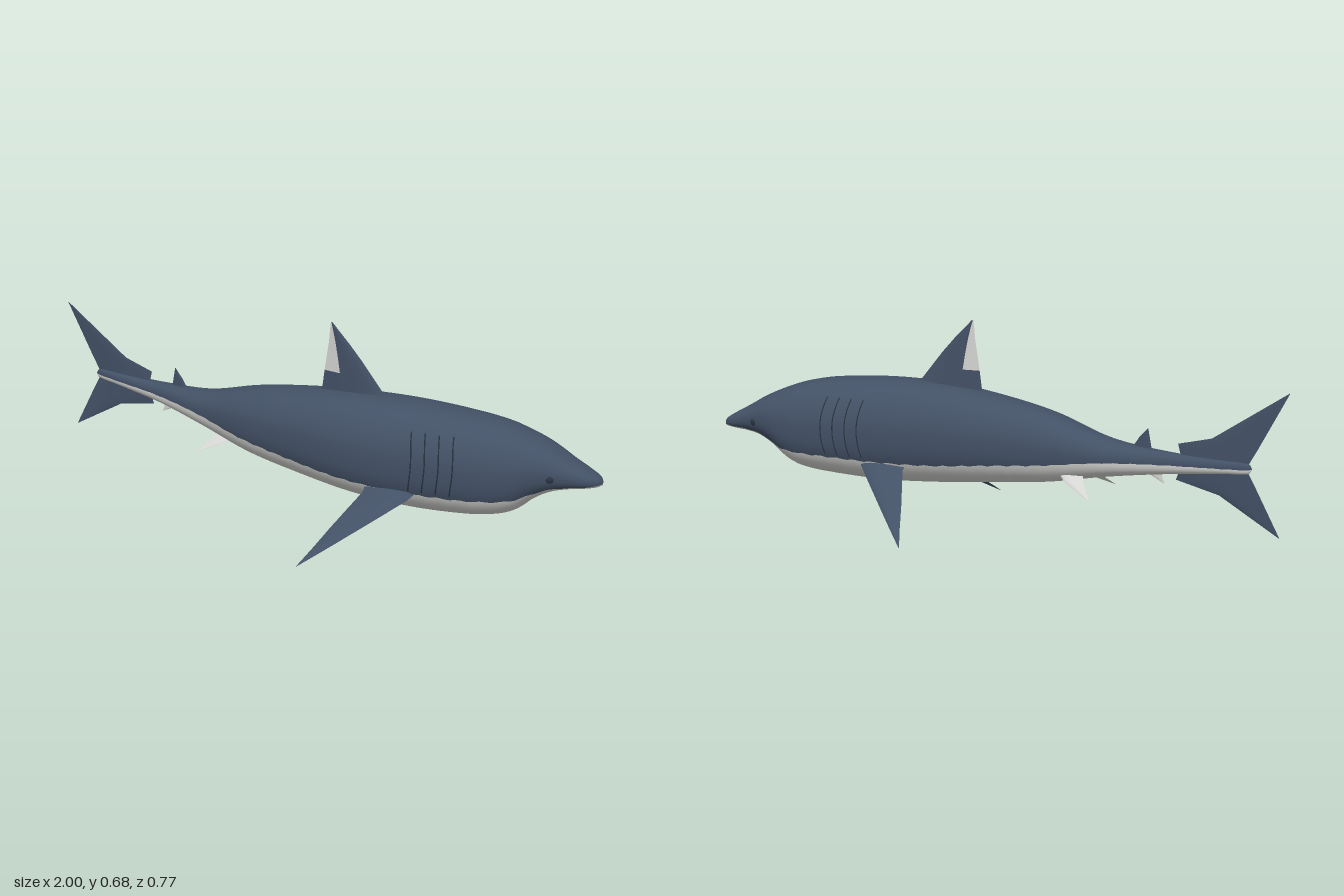
import * as THREE from 'three';

const flat = (name, color, side = THREE.FrontSide) => {
  const m = new THREE.MeshStandardMaterial({ color, side });
  m.name = name;
  return m;
};

// Body stations: x, top, bottom, colour seam height, centre z, half width
const STATIONS = [
  [-0.89, 0.312, 0.308, 0.31, -0.127, 0.001],
  [-0.88, 0.325, 0.295, 0.308, -0.127, 0.008],
  [-0.8, 0.327, 0.285, 0.303, -0.118, 0.016],
  [-0.6, 0.33, 0.258, 0.293, -0.096, 0.034],
  [-0.4, 0.346, 0.222, 0.278, -0.065, 0.066],
  [-0.2, 0.4, 0.178, 0.25, -0.034, 0.104],
  [0, 0.435, 0.15, 0.228, -0.015, 0.13],
  [0.2, 0.456, 0.127, 0.207, -0.004, 0.148],
  [0.4, 0.46, 0.115, 0.2, -0.008, 0.152],
  [0.6, 0.446, 0.122, 0.202, -0.02, 0.145],
  [0.7, 0.428, 0.136, 0.205, -0.035, 0.13],
  [0.75, 0.412, 0.158, 0.21, -0.042, 0.117],
  [0.8, 0.392, 0.2, 0.228, -0.05, 0.101],
  [0.85, 0.368, 0.228, 0.248, -0.056, 0.082],
  [0.9, 0.338, 0.242, 0.256, -0.063, 0.064],
  [0.96, 0.304, 0.25, 0.261, -0.075, 0.042],
  [0.99, 0.284, 0.256, 0.264, -0.083, 0.022],
  [1, 0.268, 0.262, 0.265, -0.085, 0.003],
];
const POWER = 2.25; // squareness of the body section

// Smooth interpolation of the stations
function sample(x) {
  const S = STATIONS, n = S.length;
  x = THREE.MathUtils.clamp(x, S[0][0], S[n - 1][0]);
  let i = 0;
  while (i < n - 2 && x > S[i + 1][0]) i++;
  const slope = (k, c) => {
    const a = S[Math.max(k - 1, 0)], b = S[Math.min(k + 1, n - 1)];
    return (b[c] - a[c]) / (b[0] - a[0]);
  };
  const w = S[i + 1][0] - S[i][0], t = (x - S[i][0]) / w;
  const [top, bottom, seam, cz, hw] = [1, 2, 3, 4, 5].map((c) =>
    S[i][c] * (1 + 2 * t) * (1 - t) ** 2 + S[i + 1][c] * t * t * (3 - 2 * t) +
    w * (slope(i, c) * t * (1 - t) ** 2 + slope(i + 1, c) * t * t * (t - 1)));
  return { cy: (top + bottom) / 2, h: (top - bottom) / 2, seam, cz, hw: Math.max(hw, 0.001) };
}

// Point on the skin at a given x and height
function skin(x, y, side) {
  const s = sample(x), d = Math.min(1, Math.abs(y - s.cy) / s.h);
  return new THREE.Vector3(x, y, s.cz + side * s.hw * (1 - d ** POWER) ** (1 / POWER));
}

// Mesh with one index bucket per material
function paintedMesh(name, positions, buckets, materials) {
  const geo = new THREE.BufferGeometry();
  geo.setAttribute('position', new THREE.Float32BufferAttribute(positions, 3));
  geo.setIndex(buckets.flat());
  let start = 0;
  buckets.forEach((b, k) => {
    if (b.length) geo.addGroup(start, b.length, k);
    start += b.length;
  });
  geo.computeVertexNormals();
  const mesh = new THREE.Mesh(geo, materials);
  mesh.name = name;
  return mesh;
}

// Lofted body: dark back above the seam, pale belly below
function makeBody(materials) {
  const rings = 130, upper = 32, lower = 20, cols = upper + lower;
  const pos = [], buckets = [[], []];
  const spow = (v) => Math.sign(v) * Math.abs(v) ** (2 / POWER);
  for (let i = 0; i <= rings; i++) {
    const x = 0.055 - 0.945 * Math.cos((Math.PI * i) / rings);
    const s = sample(x);
    const wave = 0.0025 * Math.sin(x * 97) * Math.min(1, s.h * 8);
    const d = THREE.MathUtils.clamp((s.seam + wave - s.cy) / s.h, -0.95, 0.5);
    const a0 = Math.asin(Math.sign(d) * Math.abs(d) ** (POWER / 2));
    for (let j = 0; j < cols; j++) {
      const a = j < upper
        ? a0 + (Math.PI - 2 * a0) * (j / upper)
        : Math.PI - a0 + (Math.PI + 2 * a0) * ((j - upper) / lower);
      pos.push(x, s.cy + s.h * spow(Math.sin(a)), s.cz + s.hw * spow(Math.cos(a)));
      if (i === rings) continue;
      const k = (j + 1) % cols, p = i * cols, q = p + cols;
      buckets[j < upper ? 0 : 1].push(p + j, q + j, p + k, q + j, q + k, p + k);
    }
  }
  return paintedMesh('body', pos, buckets, materials);
}

// Fin lofted over spans [leading point, trailing point, half thickness];
// paint(side, chord, span) picks the material of each cell
function makeFin(name, spans, normal, materials, paint) {
  const cols = 12, pos = [], buckets = materials.map(() => []);
  for (const side of [1, -1]) {
    const base = pos.length / 3;
    spans.forEach(([lead, trail, half], v) => {
      const a = new THREE.Vector3(...lead), b = new THREE.Vector3(...trail);
      for (let c = 0; c <= cols; c++) {
        const t = c / cols;
        const p = a.clone().lerp(b, t)
          .addScaledVector(normal, side * half * Math.sin(Math.PI * t ** 0.7));
        pos.push(p.x, p.y, p.z);
        if (c === cols || v === spans.length - 1) continue;
        const i = base + v * (cols + 1) + c, j = i + cols + 1;
        const cell = side > 0 ? [i, i + 1, j, i + 1, j + 1, j] : [i, j, i + 1, i + 1, j, j + 1];
        buckets[paint(side, (c + 0.5) / cols, v)].push(...cell);
      }
    });
  }
  return paintedMesh(name, pos, buckets, materials);
}

export function createModel() {
  const group = new THREE.Group();
  const slate = flat('slate back', 0x435166);
  const pale = flat('pale belly', 0xd4d4d2);
  const finMats = [
    flat('slate fin', 0x435166, THREE.DoubleSide),
    flat('pale fin', 0xd4d4d2, THREE.DoubleSide),
  ];
  const dark = flat('dark detail', 0x2a3442);

  group.add(makeBody([slate, pale]));

  // Upright fins follow the curved spine: rows are leadX, leadY, trailX, trailY, half
  const Z = new THREE.Vector3(0, 0, 1);
  const upright = (name, rows, paint) => group.add(makeFin(name,
    rows.map(([lx, ly, tx, ty, h]) => [[lx, ly, sample(lx).cz], [tx, ty, sample(tx).cz], h]),
    Z, finMats, paint));

  upright('dorsalFin', [
    [0.31, 0.435, 0.06, 0.425, 0.013], [0.25, 0.51, 0.072, 0.51, 0.009],
    [0.21, 0.56, 0.08, 0.56, 0.007], [0.165, 0.61, 0.088, 0.61, 0.005],
    [0.125, 0.65, 0.092, 0.655, 0.003], [0.1, 0.675, 0.095, 0.675, 0.0005],
  ], (side, t, v) => (v >= 1 && t > 0.65 ? 1 : 0));
  upright('secondDorsalFin', [
    [-0.475, 0.31, -0.56, 0.31, 0.006], [-0.51, 0.362, -0.551, 0.35, 0.003],
    [-0.54, 0.395, -0.542, 0.394, 0.0005],
  ], () => 0);
  upright('analFin', [
    [-0.5, 0.285, -0.585, 0.28, 0.005], [-0.545, 0.252, -0.592, 0.25, 0.003],
    [-0.6, 0.227, -0.601, 0.228, 0.0005],
  ], () => 1);
  upright('upperTailLobe', [
    [-0.66, 0.305, -0.87, 0.307, 0.006], [-0.645, 0.36, -0.877, 0.32, 0.004],
    [-0.757, 0.39, -0.905, 0.37, 0.003], [-1, 0.555, -1, 0.553, 0.0005],
  ], () => 0);
  upright('lowerTailLobe', [
    [-0.66, 0.3, -0.87, 0.305, 0.006], [-0.64, 0.245, -0.88, 0.295, 0.004],
    [-0.785, 0.215, -0.905, 0.25, 0.003], [-0.98, 0.105, -0.981, 0.107, 0.0005],
  ], () => 0);

  for (const s of [1, -1]) {
    const label = s > 0 ? 'Front' : 'Rear';

    // Pectoral fins: slate above, pale beneath with a slate tip
    const pectoral = [
      [0.1, 0.475, 0.285, 0.011], [0.145, 0.442, 0.288, 0.01], [0.2, 0.383, 0.262, 0.007],
      [0.26, 0.318, 0.234, 0.005], [0.325, 0.247, 0.206, 0.003], [0.385, 0.18, 0.178, 0.0005],
    ].map(([z, lead, trail, h]) => {
      const y = 0.195 - (z - 0.13) * 0.765;
      return [[lead, y, s * z], [trail, y, s * z], h];
    });
    group.add(makeFin('pectoralFin' + label, pectoral, new THREE.Vector3(0, 0.8, 0.6 * s),
      finMats, (side, t, v) => (side < 0 && v < 4 ? 1 : 0)));

    // Pelvic fins
    const pelvic = [
      [-0.235, -0.325, 0.03, 0.235, 0.006], [-0.28, -0.345, 0.07, 0.205, 0.004],
      [-0.38, -0.382, 0.115, 0.165, 0.0005],
    ].map(([lead, trail, z, y, h]) => [[lead, y, -0.062 + s * z], [trail, y, -0.062 + s * z], h]);
    group.add(makeFin('pelvicFin' + label, pelvic, new THREE.Vector3(0, 0.77, 0.64 * s),
      finMats, () => 1));

    // Gill slits
    for (let g = 0; g < 4; g++) {
      const path = [];
      for (let k = 0; k <= 8; k++) {
        const u = k / 8;
        path.push(skin(0.438 + g * 0.045 + 0.012 * Math.sin(Math.PI * u), 0.212 + 0.19 * u, s));
      }
      const slit = new THREE.Mesh(
        new THREE.TubeGeometry(new THREE.CatmullRomCurve3(path), 20, 0.0022, 5), dark);
      slit.name = 'gillSlit' + label + g;
      group.add(slit);
    }

    // Eyes
    const eye = new THREE.Mesh(new THREE.SphereGeometry(0.011, 16, 12), dark);
    eye.position.copy(skin(0.863, 0.288, s));
    eye.scale.set(1.1, 1, 0.45);
    eye.rotation.y = s * 0.4;
    eye.name = 'eye' + label;
    group.add(eye);
  }
  return group;
}
